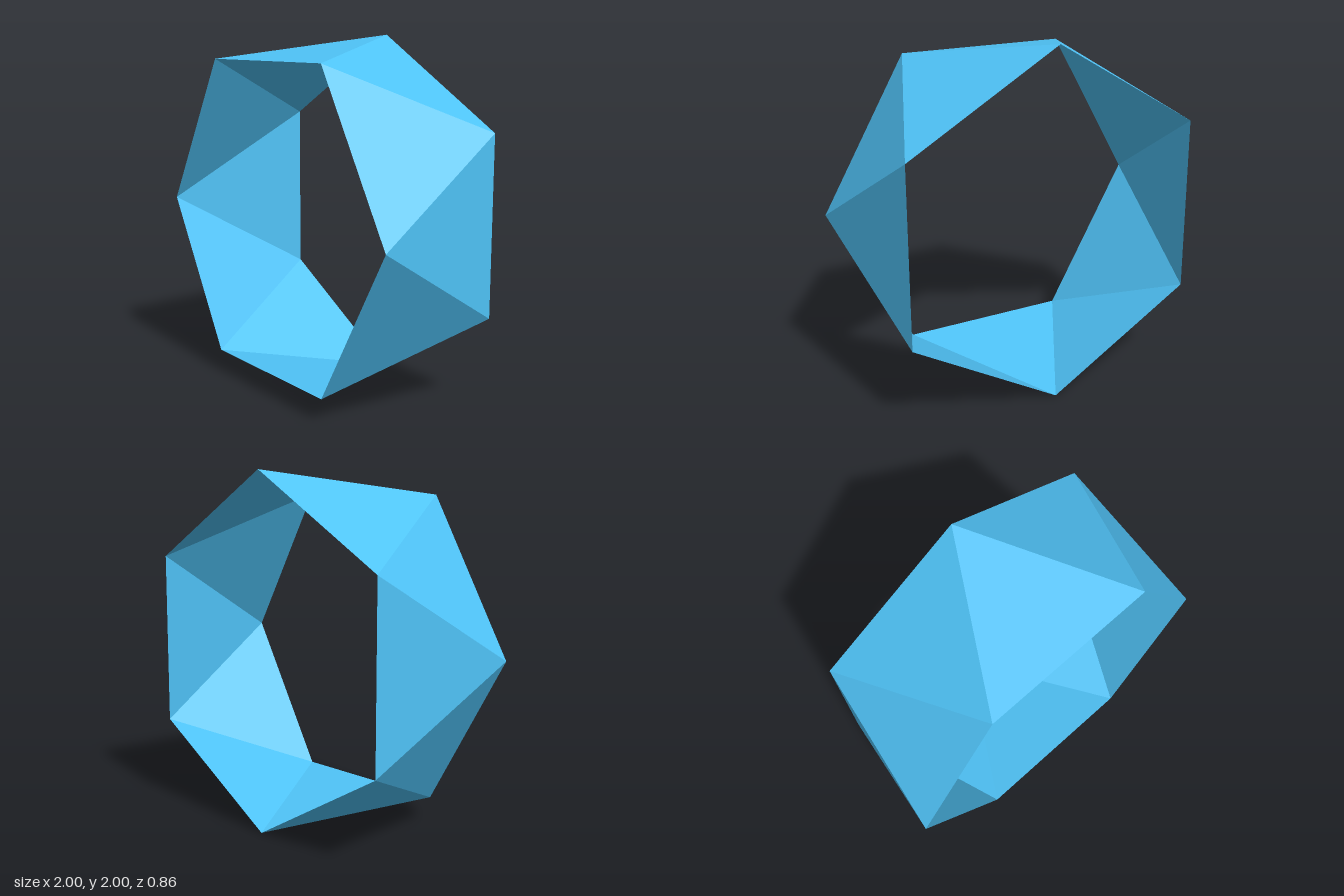
import * as THREE from 'three';

const SIDES = 6;
const RADIUS = 1;
// Depth that makes every triangle equilateral
const HALF_DEPTH = Math.sqrt(1 - (2 * Math.sin(Math.PI / 12)) ** 2) / 2;

// Rim point k of 12: even steps lie on the front rim, odd steps on the back rim
function rimPoint(k) {
  const angle = (k * Math.PI) / SIDES;
  const z = k % 2 === 0 ? HALF_DEPTH : -HALF_DEPTH;
  return [RADIUS * Math.cos(angle), 1 + RADIUS * Math.sin(angle), z];
}

export function createModel() {
  const group = new THREE.Group();
  group.name = 'antiprismRing';

  // Zigzag band of triangles, wound to face outward
  const positions = [];
  for (let k = 0; k < SIDES * 2; k++) {
    const a = rimPoint(k), b = rimPoint(k + 1), c = rimPoint(k + 2);
    if (k % 2 === 0) positions.push(...a, ...b, ...c);
    else positions.push(...a, ...c, ...b);
  }
  const geometry = new THREE.BufferGeometry();
  geometry.setAttribute('position', new THREE.Float32BufferAttribute(positions, 3));

  // Even triangles (front, back, front) must turn the other way round
  const p = geometry.attributes.position;
  const a = new THREE.Vector3(), b = new THREE.Vector3(), c = new THREE.Vector3();
  const centre = new THREE.Vector3(0, 1, 0);
  for (let i = 0; i < p.count; i += 3) {
    a.fromBufferAttribute(p, i);
    b.fromBufferAttribute(p, i + 1);
    c.fromBufferAttribute(p, i + 2);
    const normal = b.clone().sub(a).cross(c.clone().sub(a));
    if (normal.dot(a.clone().sub(centre)) < 0) {
      p.setXYZ(i + 1, c.x, c.y, c.z);
      p.setXYZ(i + 2, b.x, b.y, b.z);
    }
  }
  geometry.computeVertexNormals();

  const band = new THREE.Mesh(
    geometry,
    new THREE.MeshStandardMaterial({ color: 0x4fc3f7, flatShading: true, side: THREE.DoubleSide })
  );
  band.name = 'triangleBand';
  group.add(band);
  return group;
}
